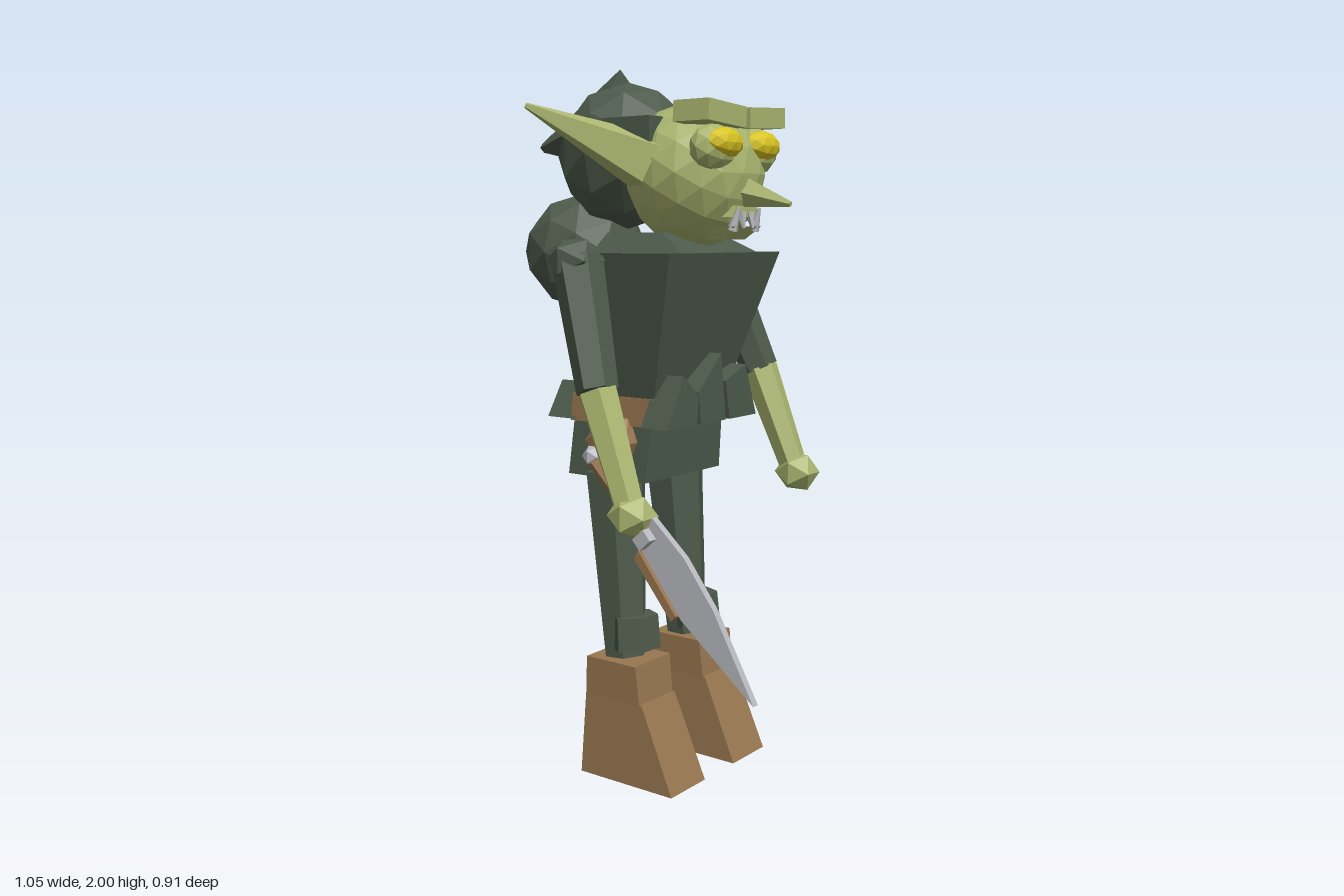
import * as THREE from 'three';

const mat = (name, color) => {
  const m = new THREE.MeshStandardMaterial({ color, flatShading: true });
  m.name = name;
  return m;
};

export function createModel() {
  const cloth = mat('dark green cloth', 0x4d5a4b);
  const skin = mat('green skin', 0xaab56f);
  const leather = mat('brown leather', 0x987650);
  const steel = mat('pale steel', 0xb8bac0);
  const yellow = mat('yellow eye', 0xd8c420);

  const root = new THREE.Group();
  root.name = 'goblin';
  const V = (x, y, z) => new THREE.Vector3(x, y, z);
  const UP = V(0, 1, 0);

  const add = (name, geo, m, pos = [0, 0, 0]) => {
    const mesh = new THREE.Mesh(geo, m);
    mesh.name = name;
    mesh.position.set(...pos);
    root.add(mesh);
    return mesh;
  };

  // faceted ball with its own radius along each axis
  const ball = (name, m, pos, radii, detail = 1) =>
    add(name, new THREE.IcosahedronGeometry(1, detail).scale(...radii), m, pos);

  // tapered round or faceted piece between two points
  const limb = (name, m, a, b, ra, rb, sides = 6, flat = 1) => {
    const p = V(...a), q = V(...b);
    const geo = new THREE.CylinderGeometry(rb, ra, p.distanceTo(q), sides).scale(1, 1, flat);
    const mesh = add(name, geo, m, p.clone().add(q).multiplyScalar(0.5).toArray());
    mesh.quaternion.setFromUnitVectors(UP, q.sub(p).normalize());
    return mesh;
  };

  // box with separate top and bottom rectangles: [y, x0, x1, z0, z1]
  const taper = (name, m, top, bottom) => {
    const geo = new THREE.BoxGeometry(1, 1, 1), p = geo.attributes.position;
    for (let i = 0; i < p.count; i++) {
      const r = p.getY(i) > 0 ? top : bottom;
      p.setXYZ(i, p.getX(i) > 0 ? r[2] : r[1], r[0], p.getZ(i) > 0 ? r[4] : r[3]);
    }
    geo.computeVertexNormals();
    return add(name, geo, m);
  };

  const outline = (pts) => new THREE.Shape(pts.map(([x, y]) => new THREE.Vector2(x, y)));

  // body
  taper('torso', cloth, [1.49, -0.17, 0.155, -0.265, 0.265], [1.08, -0.25, 0.03, -0.17, 0.17]);
  taper('belt', leather, [1.095, -0.255, 0.035, -0.176, 0.176], [1.015, -0.262, 0.03, -0.178, 0.178]);
  taper('skirt', cloth, [1.02, -0.255, 0.02, -0.17, 0.17], [0.86, -0.272, 0.005, -0.178, 0.178]);
  taper('collar', cloth, [1.545, -0.16, 0.03, -0.13, 0.13], [1.48, -0.18, 0.15, -0.19, 0.19]);

  // jagged flaps hanging over the belt, front and back
  const flaps = [
    [[-0.215, 0], [-0.08, 0], [-0.07, 0.08], [-0.14, 0.14]],
    [[-0.06, 0], [0.06, 0], [0.037, 0.19], [-0.07, 0.09]],
    [[0.08, 0], [0.215, 0], [0.16, 0.15], [0.06, 0.11]],
  ];
  for (const [side, x, depth, h, w] of [['front', 0.02, 0.09, 1, 1], ['back', -0.345, 0.1, 0.72, 0.85]])
    for (const f of flaps) {
      const geo = new THREE.ExtrudeGeometry(outline(f), { depth, bevelEnabled: false });
      add(side + 'Flap', geo.rotateY(Math.PI / 2).scale(1, h, w), cloth, [x, 1.02, 0]);
    }
  ball('beltPouch', leather, [-0.1, 0.97, 0.18], [0.088, 0.078, 0.075], 0);

  // bundle on the back
  ball('backBundle', cloth, [-0.35, 1.49, 0], [0.178, 0.17, 0.185], 1);
  ball('lowerBundle', cloth, [-0.28, 1.33, 0], [0.11, 0.115, 0.13], 1);

  // hood
  ball('hood', cloth, [-0.19, 1.76, 0], [0.205, 0.205, 0.195], 1);
  limb('hoodPoint', cloth, [-0.19, 1.855, 0], [-0.515, 1.795, 0], 0.15, 0.014, 4);

  // head
  const head = ball('head', skin, [0.045, 1.7, 0], [0.19, 0.2, 0.2], 2);
  const hp = head.geometry.attributes.position;
  for (let i = 0; i < hp.count; i++)
    if (hp.getY(i) < 0) hp.setZ(i, hp.getZ(i) * (1 + 0.6 * hp.getY(i)));
  head.geometry.computeVertexNormals();
  limb('nose', skin, [0.175, 1.66, 0], [0.355, 1.618, 0], 0.052, 0.008, 5, 0.85);
  taper('upperLip', skin, [1.615, 0.15, 0.215, -0.05, 0.05], [1.585, 0.15, 0.215, -0.065, 0.065]);
  taper('lowerLip', skin, [1.56, 0.13, 0.22, -0.065, 0.065], [1.525, 0.12, 0.18, -0.045, 0.045]);

  for (const s of [1, -1]) {
    // face
    ball('eyelid', skin, [0.175, 1.765, s * 0.098], [0.055, 0.065, 0.082], 1);
    ball('eye', yellow, [0.205, 1.777, s * 0.09], [0.038, 0.042, 0.072], 1);
    const brow = add('brow', new THREE.BoxGeometry(0.114, 0.055, 0.174), skin, [0.163, 1.852, s * 0.096]);
    brow.rotation.x = -s * 0.06;
    limb('ear', skin, [0.0, 1.725, s * 0.14], [-0.265, 1.88, s * 0.343], 0.088, 0.008, 5);
    taper('hoodEdge', cloth, [1.85, -0.13, 0.033, s * 0.16 - 0.03, s * 0.16 + 0.03],
      [1.78, -0.13, 0.033, s * 0.16 - 0.03, s * 0.16 + 0.03]);
    limb('lowerFang', steel, [0.205, 1.55, s * 0.052], [0.225, 1.61, s * 0.05], 0.016, 0.004, 5);
    limb('upperFang', steel, [0.212, 1.598, s * 0.02], [0.222, 1.555, s * 0.022], 0.014, 0.004, 5);

    // arms
    ball('shoulder', cloth, [-0.115, 1.47, s * 0.32], [0.08, 0.065, 0.085], 0);
    limb('upperArm', cloth, [-0.11, 1.47, s * 0.318], [0.012, 1.135, s * 0.385], 0.07, 0.056);
    limb('forearm', skin, [0.012, 1.135, s * 0.385], [0.125, 0.85, s * 0.4], 0.055, 0.042);
    ball('hand', skin, [0.14, 0.825, s * 0.402], [0.07, 0.063, 0.063], 0);

    // legs and boots
    limb('leg', cloth, [-0.13, 0.88, s * 0.138], [-0.09, 0.35, s * 0.148], 0.09, 0.062);
    const cuff = limb('legCuff', cloth, [-0.062, 0.47, s * 0.146], [-0.055, 0.375, s * 0.148], 0.07, 0.073);
    cuff.rotateY(Math.PI / 6);
    const z0 = s * 0.152 - 0.08, z1 = s * 0.152 + 0.08;
    taper('bootShaft', leather, [0.35, -0.165, 0.01, z0, z1], [0.235, -0.172, 0.022, z0 + 0.003, z1 - 0.003]);
    taper('bootFoot', leather, [0.24, -0.172, 0.03, z0 + 0.003, z1 - 0.003], [0, -0.19, 0.135, z0, z1]);
  }

  // dagger in the left hand
  const blade = outline([[0.17, 0.75], [0.3, 0.58], [0.52, 0.4], [0.4, 0.62], [0.31, 0.74], [0.21, 0.83]]);
  add('blade', new THREE.ExtrudeGeometry(blade, { depth: 0.02, bevelEnabled: false }), steel, [0, 0, 0.392]);
  const strip = outline([[0.152, 0.715], [0.27, 0.57], [0.285, 0.585], [0.165, 0.74]]);
  add('bladeBacking', new THREE.ExtrudeGeometry(strip, { depth: 0.022, bevelEnabled: false }), leather, [0, 0, 0.391]);
  const guard = add('guard', new THREE.BoxGeometry(0.035, 0.045, 0.074), steel, [0.195, 0.775, 0.402]);
  guard.rotation.z = -0.85;
  limb('grip', leather, [0.01, 0.965, 0.402], [0.19, 0.78, 0.402], 0.022, 0.022, 6);
  ball('pommel', steel, [0.01, 0.968, 0.402], [0.03, 0.03, 0.03], 0);

  return root;
}
